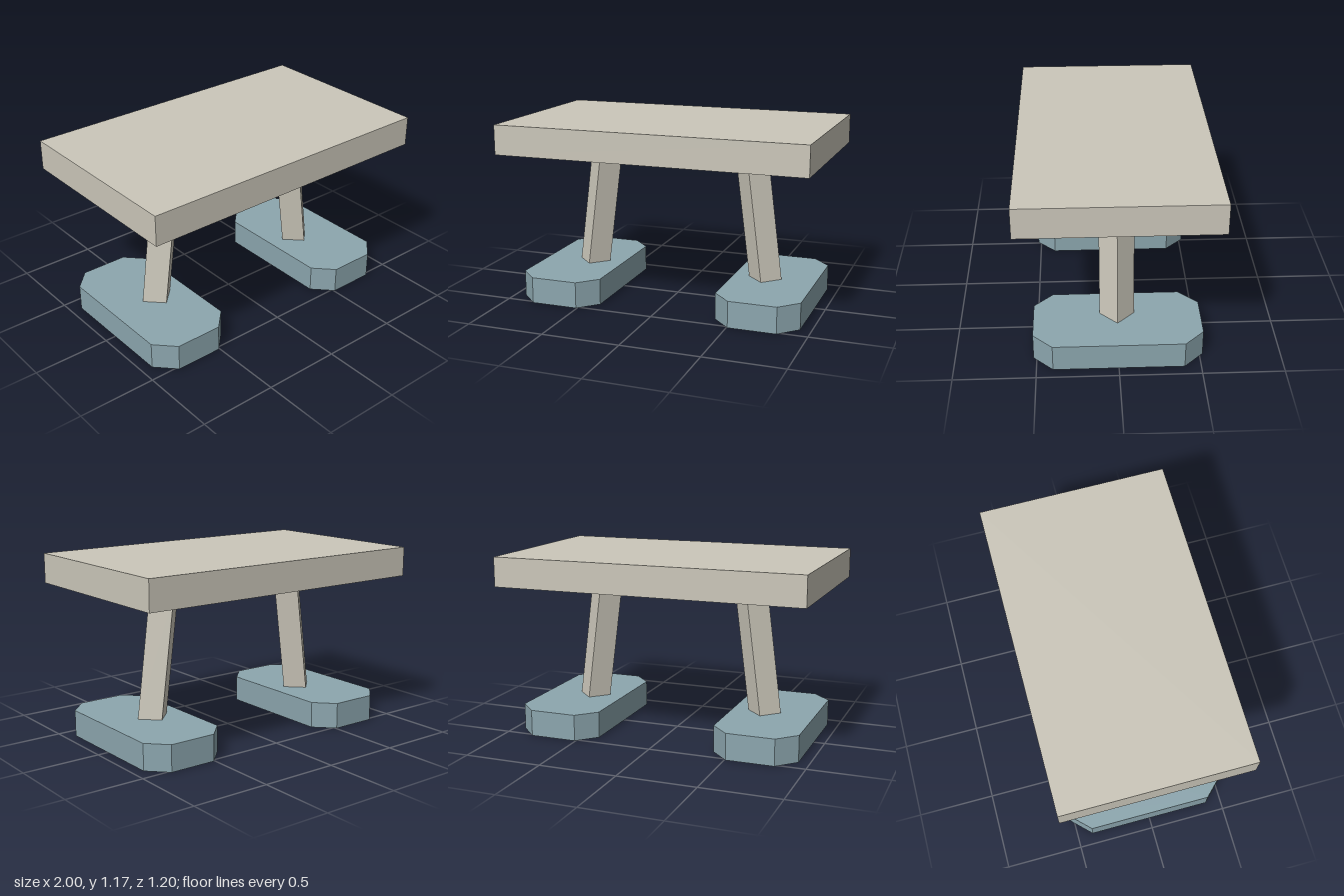
import * as THREE from 'three';

const stone = new THREE.MeshStandardMaterial({ name: 'pale stone', color: 0xcbc7ba });
const blue = new THREE.MeshStandardMaterial({ name: 'grey blue', color: 0x8ca6ae });

const TOP_Y = 0.98, TOP_H = 0.19, FOOT_H = 0.17;

// Octagonal slab with chamfered corners, standing on y = 0
function footGeometry() {
  const x = 0.27, xc = 0.153, z = 0.52, zc = 0.4;
  const outline = [[xc, -z], [x, -zc], [x, zc], [xc, z], [-xc, z], [-x, zc], [-x, -zc], [-xc, -z]];
  const shape = new THREE.Shape(outline.map(([a, b]) => new THREE.Vector2(a, b)));
  return new THREE.ExtrudeGeometry(shape, { depth: FOOT_H, bevelEnabled: false }).rotateX(-Math.PI / 2);
}

// Diamond-section post, sheared so its ends stay level while it leans in
function legGeometry(side) {
  const h = TOP_Y - FOOT_H;
  const geo = new THREE.CylinderGeometry(0.108, 0.108, h, 4).toNonIndexed();
  const lean = new THREE.Matrix4().makeShear(0, 0, (-side * 0.105) / h, 0, 0, 0);
  geo.applyMatrix4(lean);
  geo.translate(side * 0.548, FOOT_H + h / 2, 0);
  geo.computeVertexNormals();
  return geo;
}

export function createModel() {
  const model = new THREE.Group();
  model.name = 'table';
  const add = (name, geometry, material) => {
    const mesh = new THREE.Mesh(geometry, material);
    mesh.name = name;
    model.add(mesh);
    return mesh;
  };

  // Thick rectangular top
  add('tabletop', new THREE.BoxGeometry(2, TOP_H, 1.2), stone).position.y = TOP_Y + TOP_H / 2;

  // One leaning leg and one foot on each side
  for (const [name, side] of [['left', 1], ['right', -1]]) {
    add(name + 'Leg', legGeometry(side), stone);
    add(name + 'Foot', footGeometry(), blue).position.x = side * 0.66;
  }
  return model;
}
